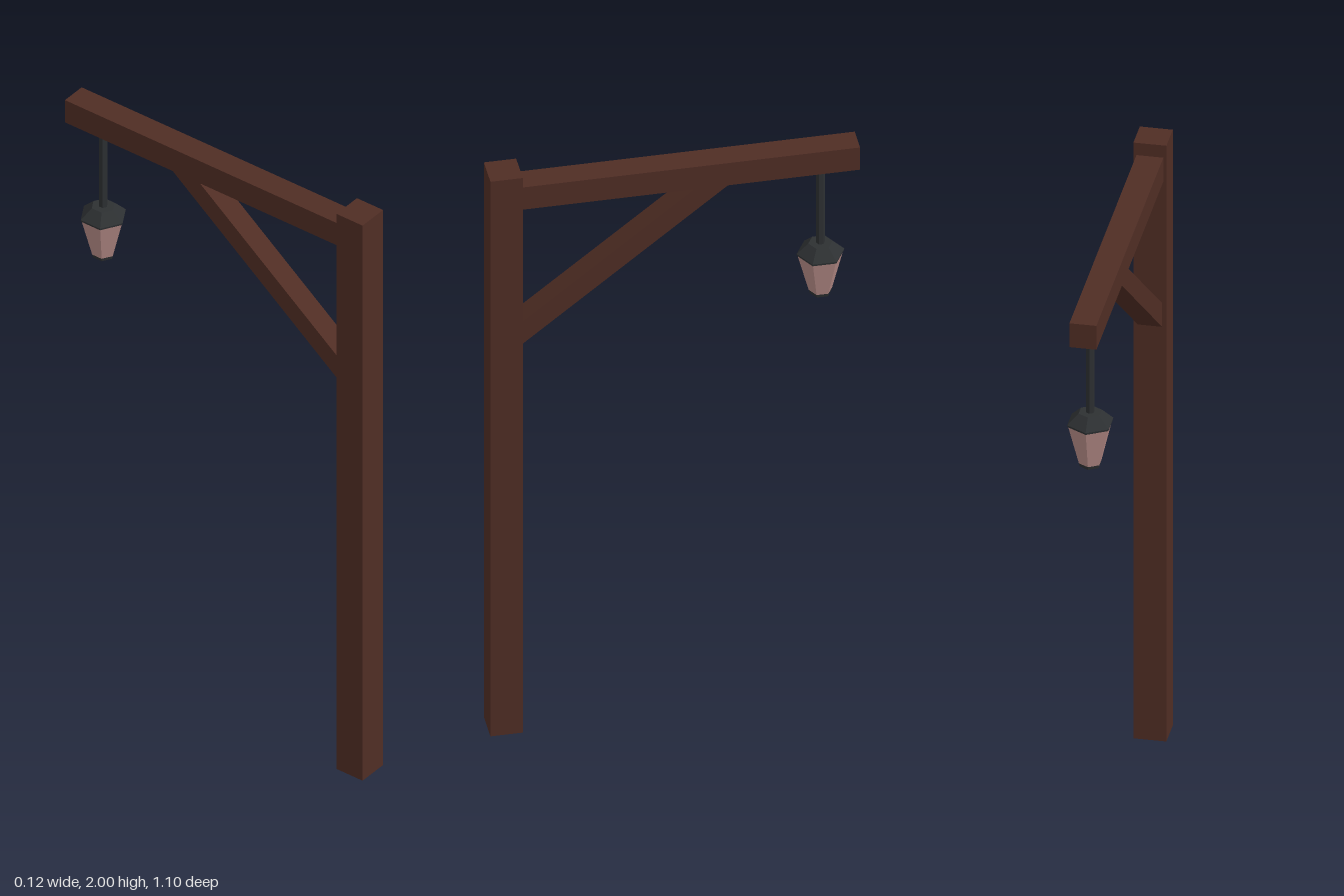
import * as THREE from 'three';

export function createModel() {
  const model = new THREE.Group();
  model.name = 'lanternPost';

  const material = (name, color) => {
    const m = new THREE.MeshStandardMaterial({ color, flatShading: true });
    m.name = name;
    return m;
  };
  const wood = material('darkWood', 0x4f2d24);
  const iron = material('blackIron', 0x2d3032);
  const glass = material('pinkGlass', 0xb48a86);

  const add = (parent, name, geometry, mat, x = 0, y = 0, z = 0) => {
    const mesh = new THREE.Mesh(geometry, mat);
    mesh.name = name;
    mesh.position.set(x, y, z);
    parent.add(mesh);
    return mesh;
  };

  // Upright post and the arm reaching towards the back
  add(model, 'post', new THREE.BoxGeometry(0.098, 2, 0.096), wood, 0, 1, 0.502);
  add(model, 'arm', new THREE.BoxGeometry(0.08, 0.08, 1.005), wood, 0, 1.919, -0.0475);

  // Diagonal brace, drawn as (z, y) and cut flush to post and arm
  const width = 0.072;
  const profile = new THREE.Shape([
    [0.455, 1.39], [0.455, 1.47], [-0.063, 1.88], [-0.163, 1.88],
  ].map(([z, y]) => new THREE.Vector2(z, y)));
  const braceGeometry = new THREE.ExtrudeGeometry(profile, { depth: width, bevelEnabled: false });
  braceGeometry.translate(0, 0, -width / 2).rotateY(-Math.PI / 2);
  add(model, 'brace', braceGeometry, wood);

  // Six-sided hanging lantern
  const lantern = new THREE.Group();
  lantern.name = 'lantern';
  lantern.position.z = -0.44;
  model.add(lantern);
  const hex = (name, top, bottom, y0, y1, mat) =>
    add(lantern, name, new THREE.CylinderGeometry(top, bottom, y1 - y0, 6), mat, 0, (y0 + y1) / 2, 0);

  hex('hanger', 0.013, 0.013, 1.6, 1.88, iron);
  hex('cap', 0.036, 0.071, 1.572, 1.605, iron);
  hex('capRim', 0.071, 0.07, 1.566, 1.572, iron);
  hex('glassPanes', 0.068, 0.035, 1.438, 1.566, glass);
  hex('lanternBase', 0.035, 0.032, 1.427, 1.438, iron);

  return model;
}
